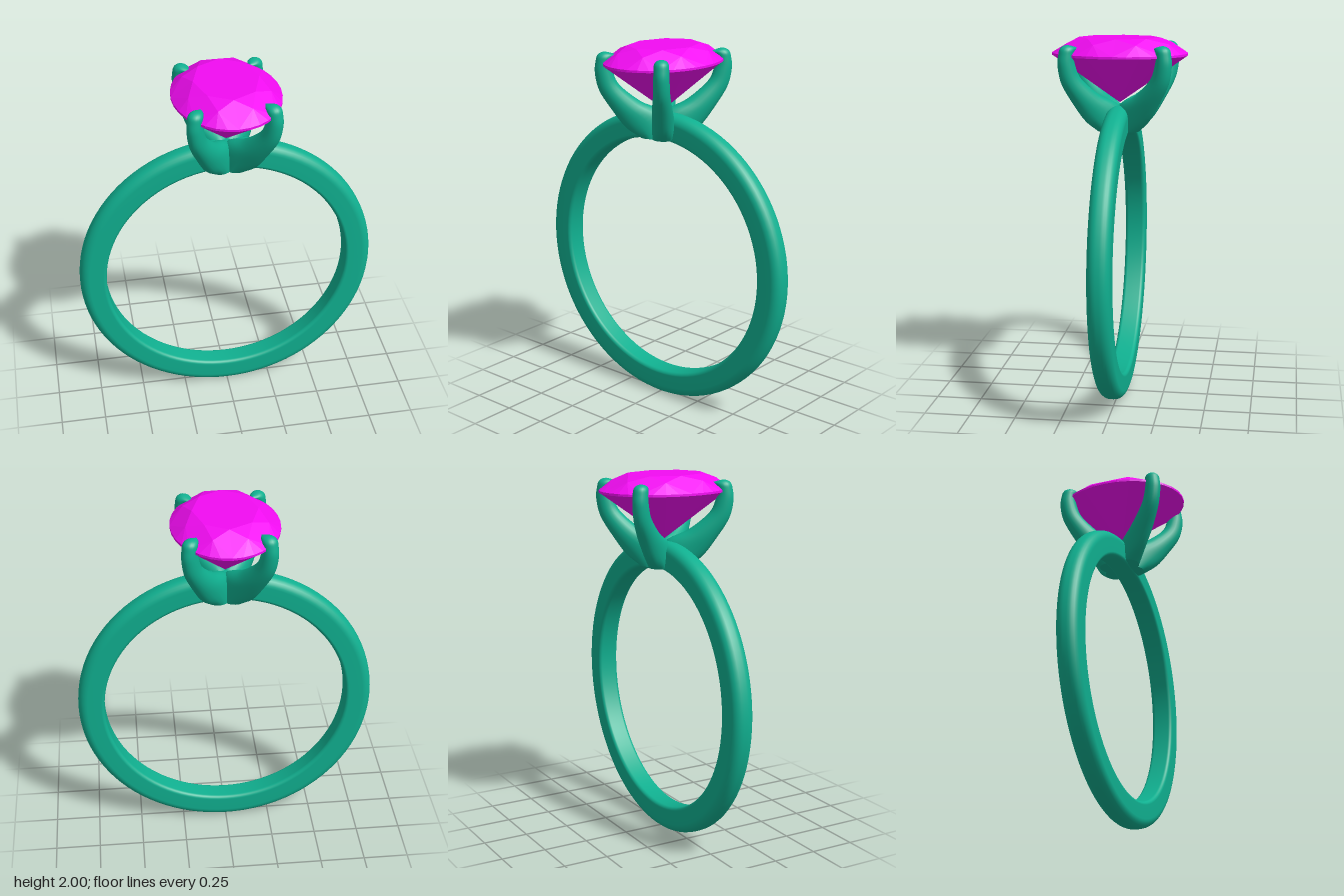
import * as THREE from 'three';

const metal = new THREE.MeshStandardMaterial({ color: 0x10b090 });
const stone = new THREE.MeshStandardMaterial({ color: 0xf20cf2, flatShading: true });

function add(parent, name, geometry, material) {
  const mesh = new THREE.Mesh(geometry, material);
  mesh.name = name;
  parent.add(mesh);
  return mesh;
}

function fromTriangles(positions, index) {
  const g = new THREE.BufferGeometry();
  g.setAttribute('position', new THREE.Float32BufferAttribute(positions, 3));
  if (index) g.setIndex(index);
  g.computeVertexNormals();
  return g;
}

// Band: soft outer corners, tighter inner corners, revolved about its axis
function bandGeometry() {
  const inner = 0.675, outer = 0.82, half = 0.06;
  const pts = [new THREE.Vector2(inner, 0)];
  const corner = (r, y, radius, start) => {
    for (let i = 0; i <= 6; i++) {
      const a = start + (i / 6) * Math.PI / 2;
      pts.push(new THREE.Vector2(r + radius * Math.cos(a), y + radius * Math.sin(a)));
    }
  };
  const ri = 0.02, ro = 0.05;
  corner(inner + ri, -half + ri, ri, Math.PI);
  corner(outer - ro, -half + ro, ro, Math.PI * 1.5);
  corner(outer - ro, half - ro, ro, 0);
  corner(inner + ri, half - ri, ri, Math.PI / 2);
  pts.push(new THREE.Vector2(inner, 0));
  return new THREE.LatheGeometry(pts, 96).rotateX(Math.PI / 2);
}

// Prong: ellipses swept between an inner and an outer edge curve,
// each point given as (distance from centre, height, half width)
const innerEdge = new THREE.CatmullRomCurve3([
  [0, 1.5, 0.06], [0, 1.63, 0.06], [0.13, 1.7, 0.055], [0.24, 1.79, 0.045], [0.275, 1.86, 0.042],
  [0.285, 1.915, 0.04], [0.28, 1.935, 0.038], [0.268, 1.945, 0.026], [0.26, 1.95, 0.003],
].map(p => new THREE.Vector3(...p)), false, 'catmullrom');
const outerEdge = new THREE.CatmullRomCurve3([
  [0.13, 1.5, 0], [0.21, 1.56, 0], [0.285, 1.66, 0], [0.35, 1.765, 0], [0.372, 1.86, 0],
  [0.367, 1.92, 0], [0.355, 1.955, 0], [0.32, 1.97, 0], [0.262, 1.957, 0],
].map(p => new THREE.Vector3(...p)), false, 'catmullrom');

function prongGeometry(sx, sz) {
  const dx = 0.615 * sx, dz = 0.788 * sz, rings = 40, sides = 20;
  const pos = [], index = [];
  const ring = t => {
    const a = innerEdge.getPoint(t), b = outerEdge.getPoint(t);
    for (let j = 0; j < sides; j++) {
      const q = (j / sides) * Math.PI * 2;
      const m = (1 + Math.cos(q)) / 2, w = a.z * Math.sin(q);
      const d = a.x + (b.x - a.x) * m;
      pos.push(dx * d + dz * w, a.y + (b.y - a.y) * m, dz * d - dx * w);
    }
  };
  for (let i = 0; i <= rings; i++) ring(i / rings);
  for (let i = 0; i < rings; i++) {
    for (let j = 0; j < sides; j++) {
      const k = (j + 1) % sides, a = i * sides, b = a + sides;
      index.push(a + j, a + k, b + k, a + j, b + k, b + j);
    }
  }
  // Separate vertices for the flat foot and the tip
  for (const [t, flip] of [[0, true], [1, false]]) {
    const base = pos.length / 3;
    ring(t);
    for (let j = 1; j < sides - 1; j++) {
      index.push(base, ...(flip ? [base + j + 1, base + j] : [base + j, base + j + 1]));
    }
  }
  return fromTriangles(pos, index);
}

// Oval brilliant: table, stars, kites, girdle facets and a pointed pavilion
function gemGeometry() {
  const pos = [];
  const at = (radius, y, step) => {
    const a = (step / 32) * Math.PI * 2;
    return [0.285 * radius * Math.sin(a), y, 0.367 * radius * Math.cos(a)];
  };
  const tri = (a, b, c) => pos.push(...a, ...b, ...c);
  const table = k => at(0.6, 2, k * 4);
  const star = k => at(0.8, 1.972, k * 4 + 2);
  const top = j => at(1, 1.918, j);
  const low = j => at(1, 1.906, j);
  const tip = [0, 1.65, 0];
  for (let k = 0; k < 8; k++) {
    tri([0, 2, 0], table(k), table(k + 1));
    tri(table(k), star(k), table(k + 1));
    tri(table(k), star(k - 1), top(k * 4));
    tri(table(k), top(k * 4), star(k));
    for (let j = k * 4; j < k * 4 + 4; j++) tri(star(k), top(j), top(j + 1));
  }
  for (let j = 0; j < 32; j++) {
    tri(top(j), low(j), low(j + 1));
    tri(top(j), low(j + 1), top(j + 1));
  }
  for (let j = 0; j < 32; j += 2) {
    tri(low(j), tip, low(j + 2));
    tri(low(j), low(j + 2), low(j + 1));
  }
  return fromTriangles(pos);
}

export function createModel() {
  const model = new THREE.Group();
  model.name = 'gemRing';
  add(model, 'band', bandGeometry(), metal).position.y = 0.82;

  const setting = new THREE.Group();
  setting.name = 'setting';
  for (const [sx, side] of [[1, 'Left'], [-1, 'Right']]) {
    for (const [sz, end] of [[1, 'front'], [-1, 'back']]) {
      add(setting, `${end}${side}Prong`, prongGeometry(sx, sz), metal);
    }
  }
  model.add(setting);

  add(model, 'gem', gemGeometry(), stone);
  return model;
}
